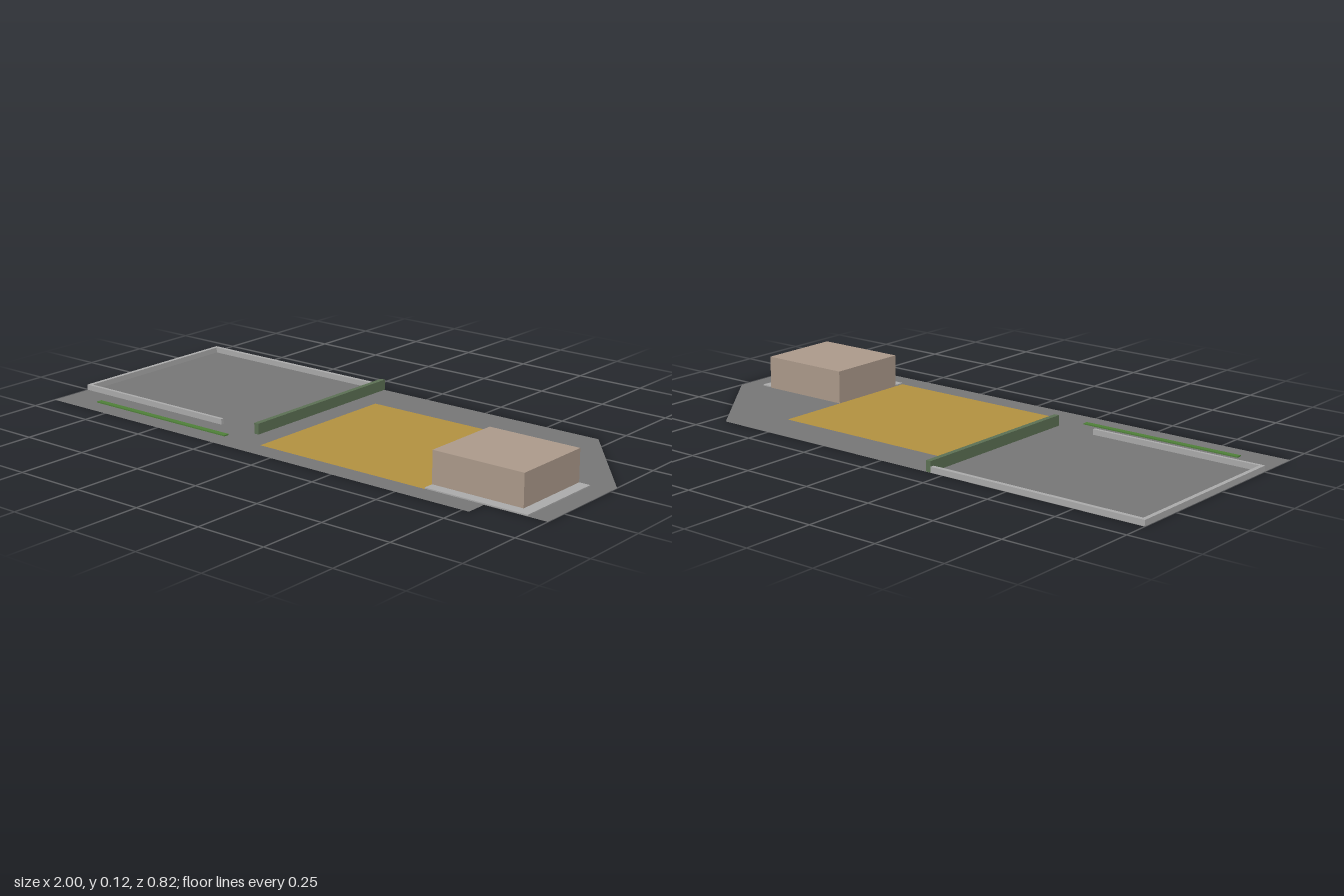
import * as THREE from 'three';

const mat = (name, color, side = THREE.FrontSide) => {
  const m = new THREE.MeshStandardMaterial({ color, side });
  m.name = name;
  return m;
};

// Plan outline from [x, z] corners
const outline = (pts, Type = THREE.Shape) =>
  new Type(pts.map(([x, z]) => new THREE.Vector2(x, -z)));
const rect = (x0, x1, z0, z1) => [[x0, z0], [x1, z0], [x1, z1], [x0, z1]];

export function createModel() {
  const model = new THREE.Group();
  model.name = 'sitePlan';

  const asphalt = mat('asphalt grey', 0x777777, THREE.DoubleSide);
  const ochre = mat('ochre', 0xb39140, THREE.DoubleSide);
  const beige = mat('warm beige', 0xac9a8b, THREE.DoubleSide);
  const concrete = mat('light concrete', 0xababab);
  const fenceGreen = mat('fence green', 0x5c7054);
  const hedgeGreen = mat('hedge green', 0x4f8039);

  const add = (name, geometry, material) => {
    const mesh = new THREE.Mesh(geometry, material);
    mesh.name = name;
    model.add(mesh);
    return mesh;
  };
  const flat = (name, shape, material) =>
    add(name, new THREE.ShapeGeometry(shape).rotateX(-Math.PI / 2), material);
  // Solid block standing just clear of the ground sheet
  const base = 0.001;
  const block = (name, x0, x1, z0, z1, top, material) => {
    const g = new THREE.BoxGeometry(x1 - x0, top - base, z1 - z0);
    g.translate((x0 + x1) / 2, (top + base) / 2, (z0 + z1) / 2);
    return add(name, g, material);
  };

  // Ground sheet, cut out for the yard and the building
  const ground = outline([
    [-1, -0.41], [0.7, -0.41], [1, -0.04], [1, 0.335],
    [0.775, 0.335], [0.775, 0.41], [-1, 0.41],
  ]);
  ground.holes.push(outline([
    [-0.11, -0.26], [0.555, -0.26], [0.555, 0], [0.89, 0],
    [0.89, 0.297], [0.555, 0.297], [0.555, 0.334], [-0.11, 0.334],
  ], THREE.Path));
  flat('ground', ground, asphalt);
  flat('yard', outline(rect(-0.11, 0.555, -0.26, 0.334)), ochre);

  // Building: roof and four walls, open underneath
  const h = 0.115;
  const shell = new THREE.BoxGeometry(0.335, h, 0.297);
  const faces = Array.from(shell.index.array);
  faces.splice(18, 6); // remove the bottom face
  shell.setIndex(faces);
  shell.clearGroups();
  shell.translate(0.7225, h / 2, 0.1485);
  add('building', shell, beige);

  // Pavement wrapping two sides of the building
  const pavement = new THREE.ExtrudeGeometry(outline([
    [0.89, 0], [0.93, 0], [0.93, 0.334], [0.555, 0.334], [0.555, 0.297], [0.89, 0.297],
  ]), { depth: 0.004, bevelEnabled: false });
  pavement.rotateX(-Math.PI / 2).translate(0, base, 0);
  add('pavement', pavement, concrete);

  // Low walls around the lot
  block('lotSideWall', -1, -0.985, -0.41, 0.255, 0.02, concrete);
  block('lotBackWall', -0.985, -0.205, -0.41, -0.395, 0.02, concrete);
  block('lotFrontWall', -0.985, -0.355, 0.243, 0.255, 0.02, concrete);

  // Dividing fence and planted strip
  block('dividingFence', -0.205, -0.187, -0.41, 0.257, 0.038, fenceGreen);
  block('hedgeStrip', -0.86, -0.26, 0.322, 0.342, 0.005, hedgeGreen);

  return model;
}
